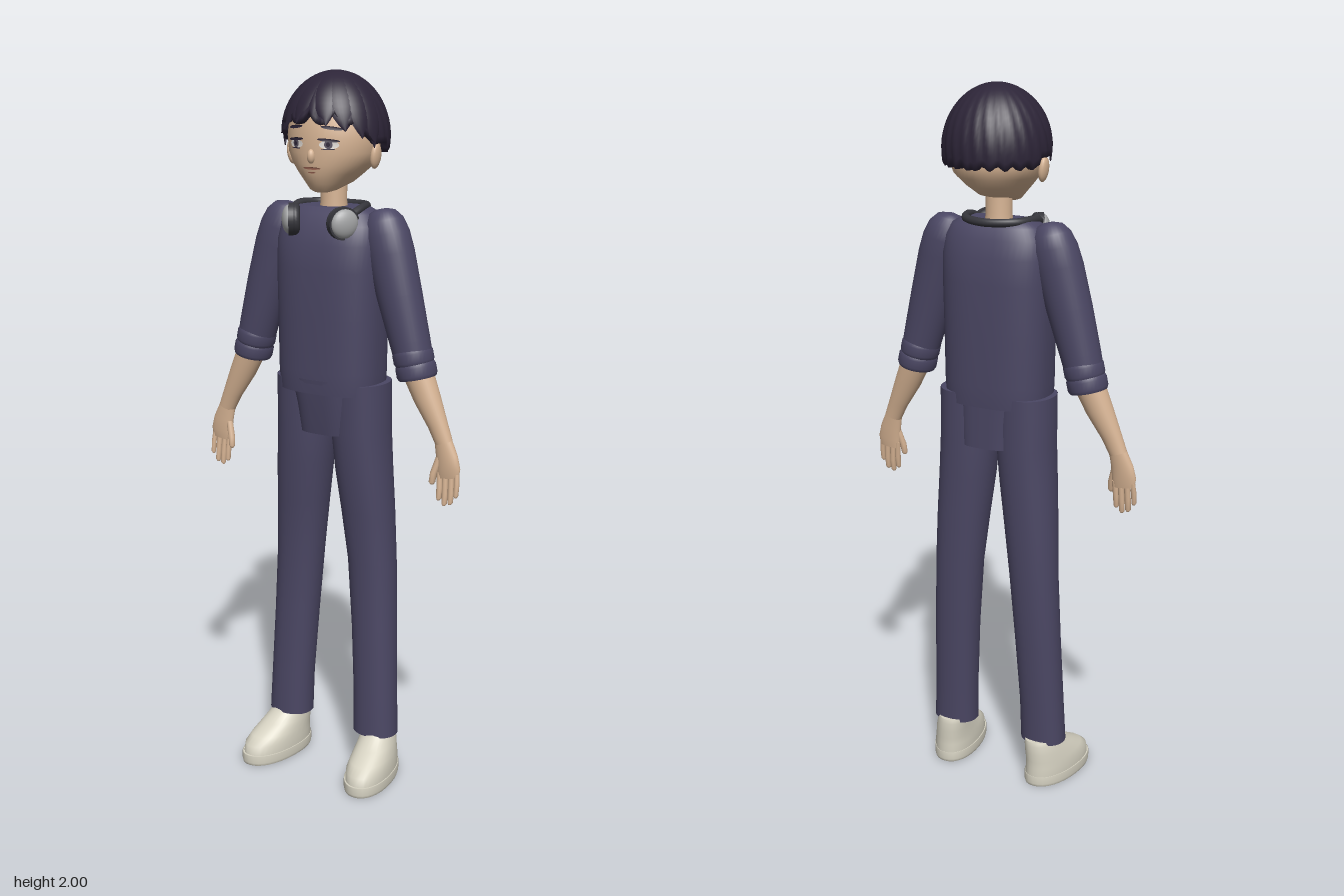
import * as THREE from 'three';

const mat = (name, color, side = THREE.FrontSide) => {
  const m = new THREE.MeshStandardMaterial({ color, side });
  m.name = name;
  return m;
};

// Smooth surface from a rule; wrap joins the first and last column.
function grid(nu, nv, wrap, fn) {
  const pos = [], idx = [], cols = wrap ? nu : nu + 1;
  for (let j = 0; j <= nv; j++)
    for (let i = 0; i < cols; i++) pos.push(...fn(i / nu, j / nv, j));
  for (let j = 0; j < nv; j++)
    for (let i = 0; i < nu; i++) {
      const k = (i + 1) % cols;
      const a = j * cols + i, b = j * cols + k, c = b + cols, d = a + cols;
      idx.push(a, b, c, a, c, d);
    }
  const g = new THREE.BufferGeometry();
  g.setAttribute('position', new THREE.Float32BufferAttribute(pos, 3));
  g.setIndex(idx);
  g.computeVertexNormals();
  return g;
}

// Closed loft through rings [y, cx, cz, rx, rz], listed from bottom to top.
function loft(rings, { e = 2, tilt = 0, yaw = 0, n = 32 } = {}) {
  const first = rings[0], last = rings.at(-1);
  const flat = (r) => [r[0], r[1], r[2], r[3] * 0.98, r[4] * 0.98];
  const point = (r) => [r[0], r[1], r[2], 0.0001, 0.0001];
  const all = [point(first), flat(first), ...rings, flat(last), point(last)];
  const sup = (v) => Math.sign(v) * Math.abs(v) ** (2 / e);
  return grid(n, all.length - 1, true, (u, v, j) => {
    const [y, cx, cz, rx, rz] = all[j], t = u * Math.PI * 2;
    const x = rx * sup(Math.sin(t)), z = cz + rz * sup(Math.cos(t));
    return [cx + x + yaw * z, y + tilt * x, z];
  });
}

const HEAD = [
  [1.686, 0, 0.045, 0.02, 0.018], [1.692, 0, 0.035, 0.038, 0.035], [1.71, 0, 0.005, 0.06, 0.078],
  [1.735, 0, -0.008, 0.086, 0.101], [1.76, 0, -0.018, 0.11, 0.115], [1.79, 0, -0.022, 0.126, 0.121],
  [1.83, 0, -0.022, 0.131, 0.12], [1.88, 0, -0.024, 0.127, 0.116], [1.93, 0, -0.025, 0.1, 0.095],
  [1.96, 0, -0.025, 0.05, 0.05],
];
function faceZ(x, y) {
  const i = Math.max(1, HEAD.findIndex((r) => r[0] > y));
  const a = HEAD[i - 1], b = HEAD[i], f = (y - a[0]) / (b[0] - a[0]);
  const [, , cz, rx, rz] = a.map((p, k) => p + (b[k] - p) * f);
  return cz + rz * Math.sqrt(Math.max(0, 1 - (x / rx) ** 2));
}
// Thin oval that follows the face.
function facePlate(x, y, rx, ry, lift, angle = 0) {
  const g = new THREE.ShapeGeometry(new THREE.Shape().absellipse(x, y, rx, ry, 0, Math.PI * 2, false, angle), 10);
  const p = g.attributes.position;
  for (let i = 0; i < p.count; i++) p.setZ(i, faceZ(p.getX(i), p.getY(i)) + lift);
  g.computeVertexNormals();
  return g;
}

// Point on the hair dome at angle t (0 is front) and elevation phi.
const HAIR_Y = 1.83, HAIR_H = 0.17;
const elevation = (y) => Math.asin((y - HAIR_Y) / HAIR_H);
const hairPoint = (t, phi, k = 1) => [
  0.143 * k * Math.cos(phi) * Math.sin(t), HAIR_Y + HAIR_H * Math.sin(phi), -0.025 + 0.141 * k * Math.cos(phi) * Math.cos(t),
];
function hairEdge(t) {
  const a = Math.min(t, Math.PI * 2 - t);
  if (a < 1.0) return 1.895 - 0.03 * Math.abs(Math.sin(a * 6));
  if (a < 1.4) return 1.85 - 0.04 * (a - 1) / 0.4;
  if (a < 1.75) return 1.815;
  return 1.793 + 0.006 * Math.sin(a * 22);
}

export function createModel() {
  const model = new THREE.Group();
  const skin = mat('skin', 0xd6b393), hair = mat('hair', 0x2d2538, THREE.DoubleSide);
  const cloth = mat('cloth', 0x4b4764), shoe = mat('shoe', 0xd6d2c2);
  const dark = mat('dark plastic', 0x36363c), grey = mat('grey plastic', 0xa4a5a6);
  const white = mat('eye white', 0xe9e4de), lip = mat('lip', 0x94604f), iris = mat('iris', 0x5a5362);
  const add = (name, geo, m, parent = model) => {
    const mesh = new THREE.Mesh(geo, m);
    mesh.name = name;
    parent.add(mesh);
    return mesh;
  };

  // Head and face
  add('head', loft(HEAD, { n: 48 }), skin);
  add('neck', loft([[1.61, 0, -0.015, 0.042, 0.04], [1.66, 0, -0.014, 0.036, 0.035], [1.75, 0, -0.015, 0.037, 0.036]]), skin);
  const nose = add('nose', new THREE.SphereGeometry(1, 16, 12), skin);
  nose.scale.set(0.011, 0.019, 0.012);
  nose.position.set(0, 1.783, 0.098);
  add('mouth', facePlate(0, 1.752, 0.027, 0.0035, 0.003), lip);
  add('lowerLip', facePlate(0, 1.741, 0.012, 0.002, 0.003), lip);
  for (const s of [1, -1]) {
    const x = s * 0.05;
    add('eyeWhite', facePlate(x, 1.814, 0.025, 0.011, 0.003), white);
    add('iris', facePlate(x, 1.815, 0.0105, 0.011, 0.0045), iris);
    add('pupil', facePlate(x, 1.815, 0.005, 0.006, 0.006), hair);
    add('upperLash', facePlate(x, 1.826, 0.029, 0.004, 0.006, s * -0.08), hair);
    add('lowerLash', facePlate(x, 1.803, 0.018, 0.0015, 0.005), hair);
    add('eyebrow', facePlate(s * 0.056, 1.857, 0.028, 0.0045, 0.004, s * -0.12), hair);
    const ear = add('ear', new THREE.SphereGeometry(1, 16, 12), skin);
    ear.scale.set(0.012, 0.034, 0.021);
    ear.position.set(s * 0.131, 1.782, -0.012);
    ear.rotation.z = s * -0.12;
  }

  // Hair dome with ridged locks and a folded-in lower edge
  add('hairDome', grid(120, 17, true, (u, v, j) => {
    const t = u * Math.PI * 2, low = elevation(hairEdge(t));
    if (j === 0) return hairPoint(t, low, 0.86);
    const phi = low + (Math.PI / 2 - low) * (j - 1) / 16;
    return hairPoint(t, phi, 1 + 0.03 * Math.abs(Math.sin(t * 13 + 2 * phi)) * Math.cos(phi));
  }), hair);
  // Pointed fringe locks: angle, half width, tip height, sideways drift
  const locks = [
    [-1.25, 0.3, 1.8, -0.05], [-0.9, 0.34, 1.835, -0.1], [-0.5, 0.36, 1.85, -0.12], [-0.15, 0.3, 1.868, -0.12],
    [0.2, 0.32, 1.862, 0.16], [0.58, 0.36, 1.848, 0.14], [0.95, 0.34, 1.83, 0.1], [1.28, 0.28, 1.805, 0.05],
  ];
  for (const [t0, w, tip, drift] of locks)
    add('fringeLock', grid(8, 12, false, (u, v) => {
      const d = 1 - v, c = u * 2 - 1, low = elevation(tip);
      const t = t0 + drift * d + c * w * (1 - d ** 4);
      return hairPoint(t, low + (1.3 - low) * v, 1.005 + 0.035 * (1 - c * c) * Math.sin(Math.PI * Math.min(1, d + 0.05) * 0.75));
    }), hair);

  // Shirt and hips
  add('shirt', loft([
    [1.14, 0, -0.01, 0.15, 0.102], [1.2, 0, -0.01, 0.153, 0.105], [1.35, 0, -0.01, 0.155, 0.106],
    [1.48, 0, -0.01, 0.158, 0.106], [1.55, 0, -0.011, 0.158, 0.1], [1.6, 0, -0.013, 0.15, 0.086],
    [1.63, 0, -0.015, 0.132, 0.07], [1.645, 0, -0.015, 0.105, 0.055],
  ], { e: 2.6, n: 48 }), cloth);
  add('hips', loft([[1.022, 0.005, -0.018, 0.085, 0.09], [1.1, 0.005, -0.012, 0.09, 0.096], [1.18, 0, -0.008, 0.1, 0.103]], { e: 3.2, n: 48 }), cloth);

  for (const s of [1, -1]) {
    const side = (rings) => rings.map(([y, x, ...rest]) => [y, x * s, ...rest]);

    // Sleeve, rolled cuff and forearm
    add('sleeve', loft(side([
      [1.21, 0.268, -0.008, 0.049, 0.05], [1.3, 0.244, -0.008, 0.055, 0.053], [1.42, 0.21, -0.009, 0.062, 0.056],
      [1.53, 0.179, -0.012, 0.066, 0.058], [1.58, 0.164, -0.014, 0.064, 0.057], [1.615, 0.155, -0.015, 0.054, 0.05],
      [1.637, 0.15, -0.015, 0.036, 0.034], [1.644, 0.147, -0.015, 0.015, 0.015],
    ]), { tilt: s * 0.22 }), cloth);
    for (const [y, x] of [[1.205, 0.27], [1.242, 0.26]])
      add('cuff', loft(side([
        [y - 0.004, x, -0.008, 0.05, 0.052], [y + 0.005, x - 0.002, -0.008, 0.054, 0.056],
        [y + 0.027, x - 0.007, -0.008, 0.054, 0.056], [y + 0.036, x - 0.009, -0.008, 0.05, 0.052],
      ]), { tilt: s * 0.22 }), cloth);
    add('forearm', loft(side([
      [1.035, 0.358, 0, 0.024, 0.019], [1.08, 0.338, -0.001, 0.027, 0.023], [1.15, 0.302, -0.004, 0.036, 0.033],
      [1.23, 0.265, -0.007, 0.041, 0.04],
    ]), { tilt: s * 0.35 }), skin);

    // Hand
    add('palm', loft(side([
      [0.94, 0.375, 0.004, 0.031, 0.01], [0.965, 0.375, 0.004, 0.035, 0.014], [1.0, 0.369, 0.003, 0.032, 0.016],
      [1.055, 0.352, 0, 0.023, 0.018],
    ]), { tilt: s * 0.12 }), skin);
    const finger = (name, pts, r) => add(name, loft(side(pts.map(([x, y, z], i) =>
      [y, x, z, r * [0.45, 0.9, 1, 1][i], r * [0.45, 0.9, 1, 1][i]])), { n: 10 }), skin);
    [[0.348, 0.875], [0.365, 0.862], [0.383, 0.868], [0.4, 0.89]].forEach(([x, tip], i) =>
      finger('finger', [[x + 0.002, tip, 0.012], [x + 0.003, tip + 0.006, 0.011], [x + 0.003, tip + 0.035, 0.008], [x, 0.955, 0.004]], 0.0085 - (i === 3 ? 0.001 : 0)));
    finger('thumb', [[0.332, 0.918, 0.016], [0.332, 0.925, 0.016], [0.335, 0.95, 0.013], [0.348, 0.995, 0.005]], 0.01);

    // Trouser leg
    add('trouserLeg', loft(side([
      [0.127, 0.146, -0.012, 0.066, 0.054], [0.25, 0.142, -0.016, 0.064, 0.055], [0.45, 0.132, -0.025, 0.066, 0.058],
      [0.65, 0.12, -0.03, 0.07, 0.062], [0.8, 0.108, -0.025, 0.076, 0.07], [0.92, 0.097, -0.02, 0.08, 0.078],
      [1.03, 0.089, -0.018, 0.082, 0.083], [1.17, 0.088, -0.016, 0.081, 0.087],
    ]), { e: 2.2 }), cloth);

    // Shoe
    add('sole', loft(side([[0, 0.16, 0.042, 0.064, 0.126], [0.008, 0.16, 0.042, 0.066, 0.128], [0.03, 0.16, 0.042, 0.066, 0.128]]), { e: 2.2, yaw: s * 0.12 }), shoe);
    add('shoeUpper', loft(side([
      [0.025, 0.16, 0.04, 0.063, 0.124], [0.055, 0.16, 0.038, 0.062, 0.12], [0.075, 0.159, 0.025, 0.058, 0.107],
      [0.1, 0.157, 0, 0.053, 0.083], [0.125, 0.154, -0.018, 0.047, 0.064], [0.137, 0.152, -0.02, 0.044, 0.059],
    ]), { e: 2.2, yaw: s * 0.12 }), shoe);

    // Headphone cup, facing outward and forward
    const cup = new THREE.Group();
    cup.name = 'headphoneCup';
    cup.position.set(s * 0.083, 1.61, 0.07);
    cup.rotation.y = s * 1.0;
    model.add(cup);
    add('cupBody', new THREE.CylinderGeometry(0.044, 0.044, 0.014, 32).rotateX(Math.PI / 2), dark, cup);
    add('cushion', new THREE.TorusGeometry(0.032, 0.012, 12, 32), dark, cup).position.z = -0.012;
    const cap = add('cupCap', new THREE.SphereGeometry(0.039, 28, 14), grey, cup);
    cap.scale.z = 0.5;
    cap.position.z = 0.006;
  }

  // Headphone band resting behind the neck
  const band = new THREE.CatmullRomCurve3([
    [-0.088, 1.625, 0.06], [-0.1, 1.645, 0.01], [-0.075, 1.645, -0.06], [0, 1.643, -0.088],
    [0.075, 1.645, -0.06], [0.1, 1.645, 0.01], [0.088, 1.625, 0.06],
  ].map((p) => new THREE.Vector3(...p)));
  add('headphoneBand', new THREE.TubeGeometry(band, 48, 0.011, 10), dark);

  return model;
}
